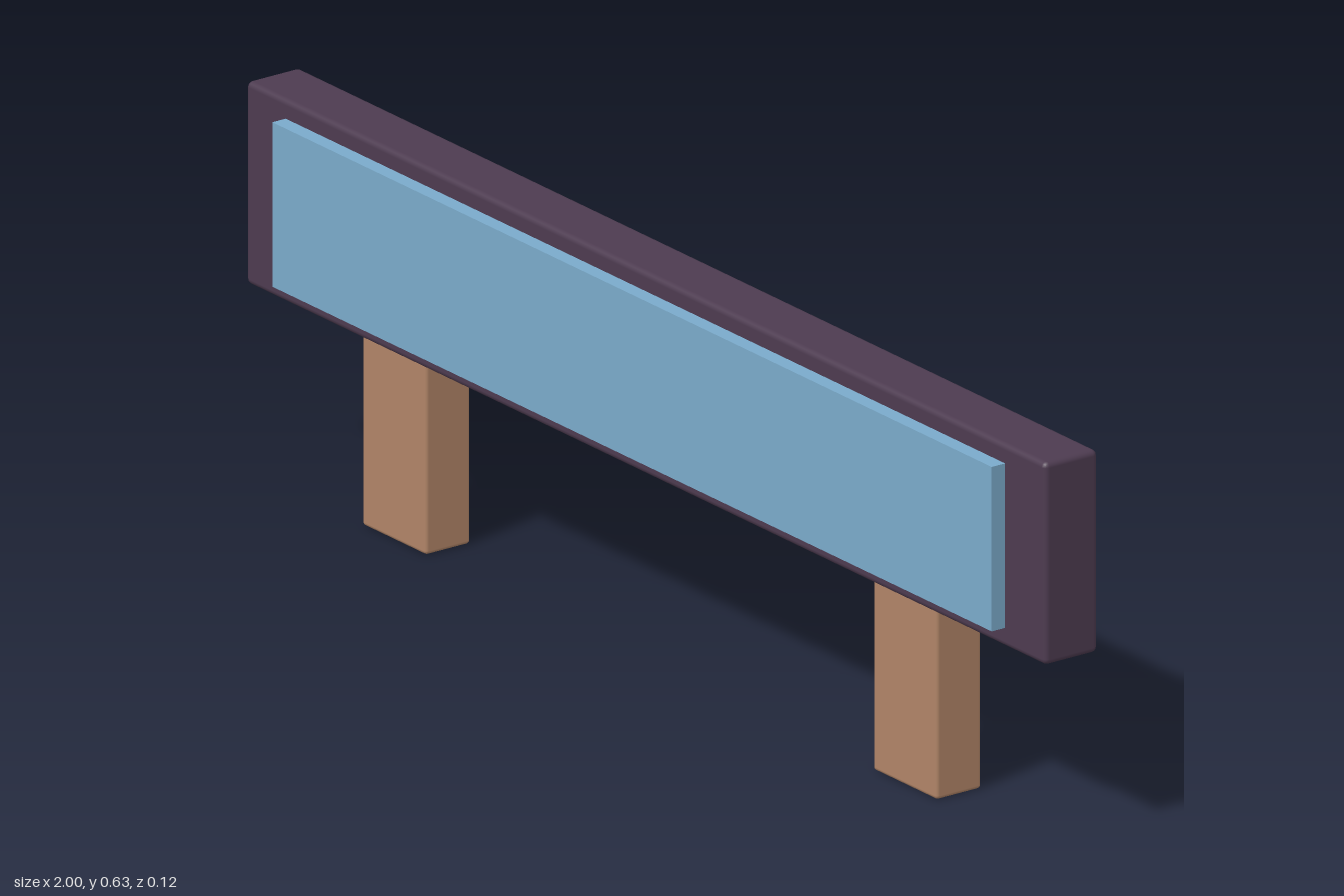
import * as THREE from 'three';
import { RoundedBoxGeometry } from 'three/addons/geometries/RoundedBoxGeometry.js';

const boardMaterial = new THREE.MeshStandardMaterial({ name: 'darkPlum', color: 0x4d3b50 });
const panelMaterial = new THREE.MeshStandardMaterial({ name: 'skyBlue', color: 0x7aaaca });
const legMaterial = new THREE.MeshStandardMaterial({ name: 'warmWood', color: 0xb08467 });

// Box spanning two corners, with an optional softened edge
function block(name, material, min, max, radius = 0) {
  const size = max.map((v, i) => v - min[i]);
  const geometry = radius
    ? new RoundedBoxGeometry(...size, 2, radius)
    : new THREE.BoxGeometry(...size);
  const mesh = new THREE.Mesh(geometry, material);
  mesh.name = name;
  mesh.position.set(...max.map((v, i) => (v + min[i]) / 2));
  return mesh;
}

export function createModel() {
  const model = new THREE.Group();
  model.name = 'signBoard';

  // Long board with a raised face panel
  model.add(block('board', boardMaterial, [-1, 0.302, -0.062], [1, 0.626, 0.037], 0.009));
  model.add(block('facePanel', panelMaterial, [-0.9, 0.333, 0.03], [0.9, 0.596, 0.062]));

  // Two posts, mirrored left and right
  for (const [name, x] of [['leftLeg', 0.639], ['rightLeg', -0.639]]) {
    model.add(block(name, legMaterial, [x - 0.08, 0, -0.054], [x + 0.08, 0.315, 0.03], 0.006));
  }
  return model;
}
